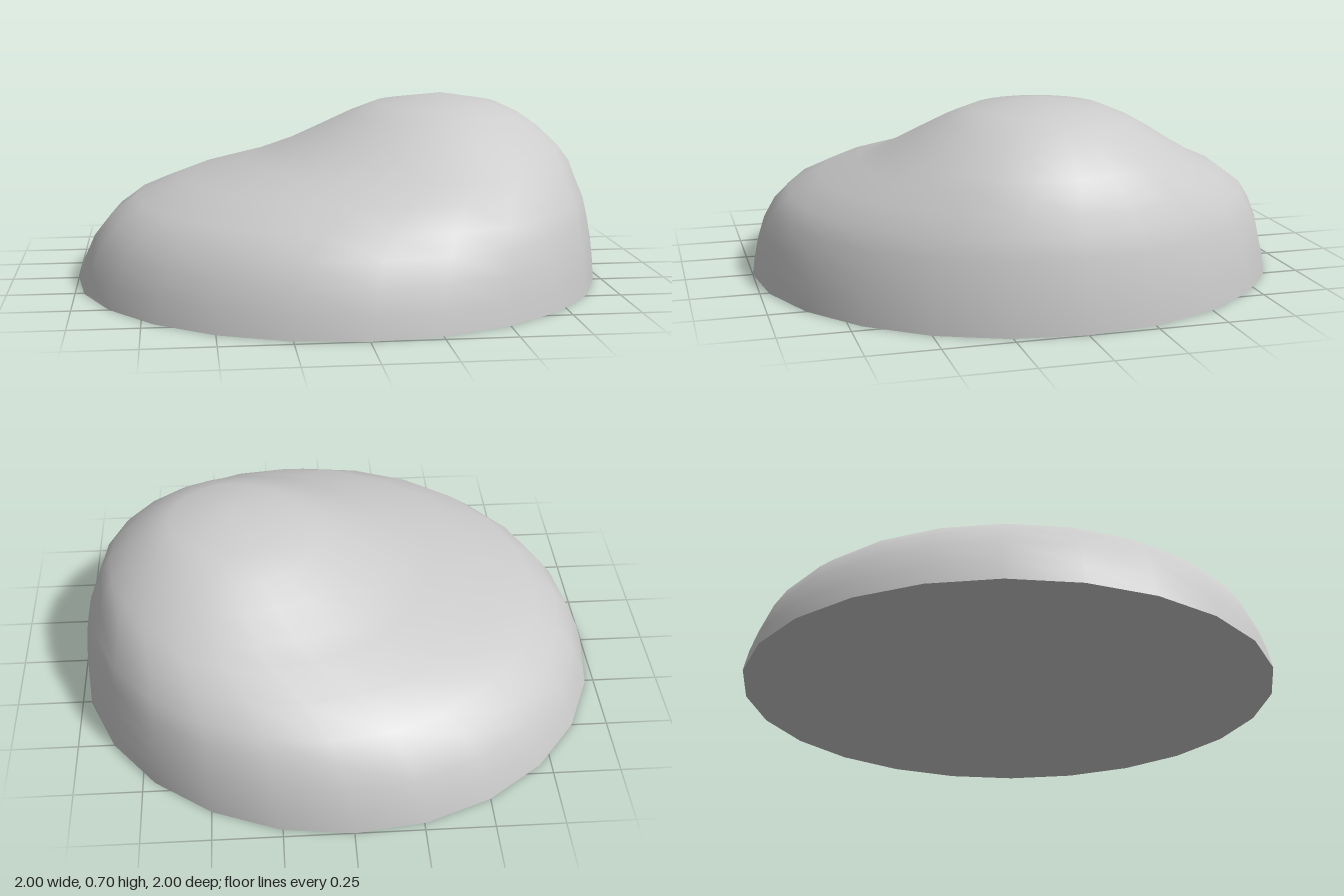
import * as THREE from 'three';
import { mergeVertices } from 'three/addons/utils/BufferGeometryUtils.js';

const SIDES = 24;

// Level rings from base to peak: [radius, height, sideways shift of the centre]
const RINGS = [
  [1, 0, 0], [0.985, 0.08, 0.01], [0.96, 0.168, 0.025], [0.92, 0.25, 0.05],
  [0.865, 0.32, 0.09], [0.755, 0.393, 0.17], [0.63, 0.452, 0.275],
  [0.545, 0.5, 0.325], [0.44, 0.565, 0.36], [0.34, 0.622, 0.38],
  [0.24, 0.665, 0.39], [0, 0.703, 0.41],
];

export function createModel() {
  const group = new THREE.Group();
  group.name = 'mound';
  const material = new THREE.MeshStandardMaterial({ color: 0xcccccc });

  // Lopsided dome: a lathe whose rings slide towards +x as they rise
  const lathe = new THREE.LatheGeometry(RINGS.map(([r, y]) => new THREE.Vector2(r, y)), SIDES);
  const pos = lathe.attributes.position;
  for (let i = 0; i < pos.count; i++) {
    pos.setX(i, pos.getX(i) + RINGS[i % RINGS.length][2]);
  }
  // Weld the seam and the peak so the shading is smooth all round
  lathe.deleteAttribute('uv');
  lathe.deleteAttribute('normal');
  const domeGeometry = mergeVertices(lathe, 1e-4);
  domeGeometry.computeVertexNormals();
  const dome = new THREE.Mesh(domeGeometry, material);
  dome.name = 'dome';

  // Flat underside
  const base = new THREE.Mesh(new THREE.CircleGeometry(1, SIDES).rotateX(Math.PI / 2), material);
  base.name = 'underside';

  group.add(dome, base);
  return group;
}
